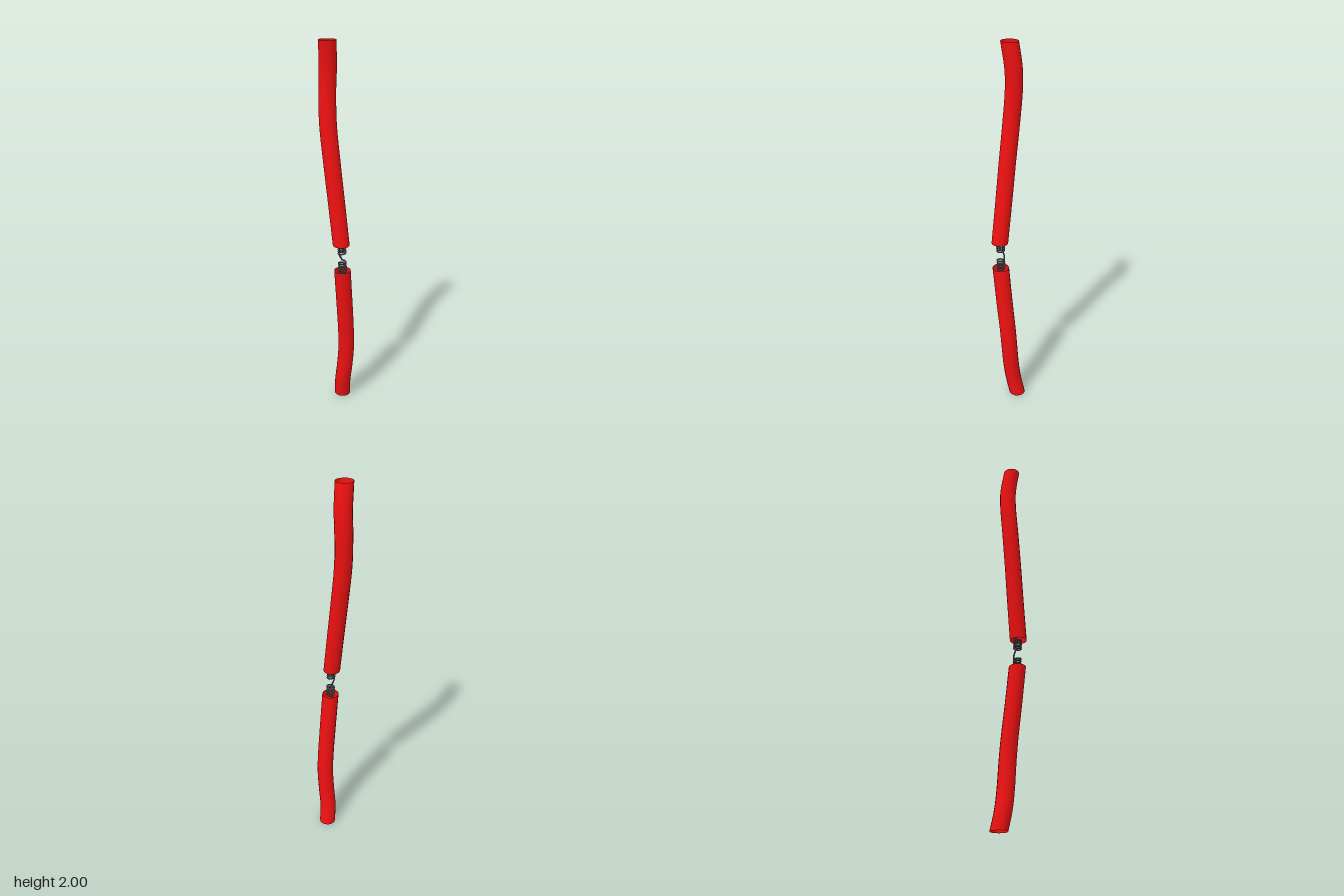
import * as THREE from 'three';

const RADIUS = 0.044;

// Open hose with level ends: a cylinder whose rings follow a bent centre line.
// Each point is [x, y, z], listed from bottom to top.
function hose(name, points, material) {
  const path = new THREE.CatmullRomCurve3(points.map(p => new THREE.Vector3(...p)));
  const rings = 24;
  const geometry = new THREE.CylinderGeometry(RADIUS, RADIUS, 1, 16, rings, true);
  const pos = geometry.attributes.position;
  for (let i = 0; i < pos.count; i++) {
    const t = Math.round((pos.getY(i) + 0.5) * rings) / rings;
    const c = path.getPoint(t);
    pos.setXYZ(i, c.x + pos.getX(i), c.y, c.z + pos.getZ(i));
  }
  geometry.computeVertexNormals();
  // Match the normals on both sides of the seam
  const n = geometry.attributes.normal;
  for (let r = 0; r <= rings; r++) {
    const a = r * 17, b = a + 16;
    const v = new THREE.Vector3().fromBufferAttribute(n, a)
      .add(new THREE.Vector3().fromBufferAttribute(n, b)).normalize();
    n.setXYZ(a, v.x, v.y, v.z);
    n.setXYZ(b, v.x, v.y, v.z);
  }
  const mesh = new THREE.Mesh(geometry, material);
  mesh.name = name;
  return mesh;
}

// Spring with two tight coils joined by a stretched strand at the back
function spring(material) {
  const points = [];
  const coil = (a0, a1, y0, y1, steps) => {
    for (let i = 0; i < steps; i++) {
      const t = i / steps;
      const a = THREE.MathUtils.degToRad(a0 + (a1 - a0) * t);
      const y = y0 + (y1 - y0) * t;
      const cx = -0.009 - (y - 0.83) * 0.035;
      points.push(new THREE.Vector3(cx + 0.019 * Math.cos(a), y, 0.047 + 0.019 * Math.sin(a)));
    }
  };
  coil(-125 - 360 * 5, -125, 0.985, 0.925, 60);
  coil(-125, -55, 0.925, 0.88, 4);
  coil(-55, -55 + 360 * 5, 0.88, 0.815, 61);
  const path = new THREE.CatmullRomCurve3(points);
  const mesh = new THREE.Mesh(new THREE.TubeGeometry(path, 320, 0.0042, 8), material);
  mesh.name = 'spring';
  return mesh;
}

export function createModel() {
  const group = new THREE.Group();
  group.name = 'springJoinedHoses';
  const red = new THREE.MeshStandardMaterial({ color: 0xee1111, side: THREE.DoubleSide });
  const steel = new THREE.MeshStandardMaterial({ color: 0x666666, side: THREE.DoubleSide });

  group.add(hose('upperHose', [
    [-0.018, 0.975, 0.048], [-0.027, 1.2, 0.018], [-0.036, 1.4, -0.008],
    [-0.042, 1.6, -0.034], [-0.037, 1.77, -0.046], [-0.035, 1.87, -0.043], [-0.047, 2, -0.028],
  ], red));
  group.add(hose('lowerHose', [
    [0.043, 0, -0.026], [0.032, 0.1, -0.008], [0.033, 0.2, 0.008], [0.035, 0.33, 0.021],
    [0.028, 0.45, 0.028], [0.013, 0.6, 0.037], [-0.01, 0.83, 0.048],
  ], red));
  group.add(spring(steel));
  return group;
}
